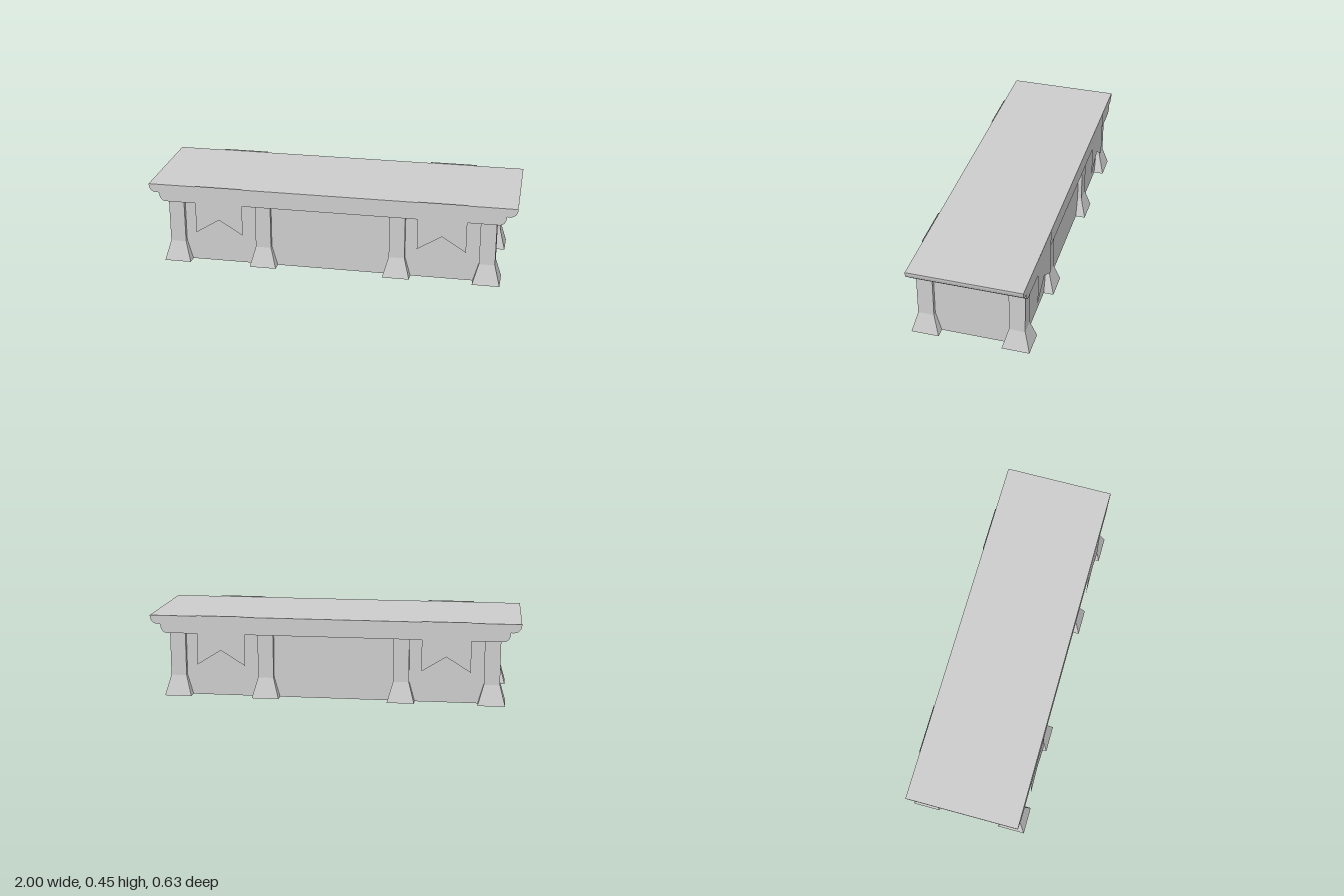
import * as THREE from 'three';
import { toCreasedNormals } from 'three/addons/utils/BufferGeometryUtils.js';

export function createModel() {
  const group = new THREE.Group();
  const smooth = new THREE.MeshStandardMaterial({ color: 0xcccccc });
  const flat = new THREE.MeshStandardMaterial({ color: 0xcccccc, flatShading: true, side: THREE.DoubleSide });
  const add = (name, geometry, material, x = 0, y = 0, z = 0) => {
    const mesh = new THREE.Mesh(geometry, material);
    mesh.name = name;
    mesh.position.set(x, y, z);
    group.add(mesh);
    return mesh;
  };

  // Top slab with two stepped, rounded mouldings at each end
  const back = -0.304, front = 0.3;
  const s = new THREE.Shape();
  s.moveTo(-0.905, 0.349);
  s.lineTo(0.905, 0.349);
  s.bezierCurveTo(0.928, 0.349, 0.943, 0.366, 0.943, 0.398);
  s.lineTo(0.955, 0.398);
  s.bezierCurveTo(0.983, 0.398, 1, 0.414, 1, 0.445);
  s.lineTo(-1, 0.445);
  s.bezierCurveTo(-1, 0.414, -0.983, 0.398, -0.955, 0.398);
  s.lineTo(-0.943, 0.398);
  s.bezierCurveTo(-0.943, 0.366, -0.928, 0.349, -0.905, 0.349);
  const slab = new THREE.ExtrudeGeometry(s, { depth: front - back, bevelEnabled: false, curveSegments: 16 });
  add('topSlab', toCreasedNormals(slab, 0.6), smooth, 0, 0, back);

  // Hollow body: four thin walls, open below
  const H = 0.349, q = Math.SQRT1_2;
  const walls = new THREE.CylinderGeometry(q, q, H, 4, 1, true, Math.PI / 4);
  walls.scale(2 * 0.872, 1, 2 * 0.262);
  add('bodyWalls', walls, flat, 0, H / 2, 0);

  // Square posts with flared, open feet
  const profile = [[0.0735, 0], [0.0425, 0.11], [0.0425, H]]
    .map(([half, y]) => new THREE.Vector2(half * Math.SQRT2, y));
  const post = new THREE.LatheGeometry(profile, 4, Math.PI / 4);
  for (const x of [-0.852, -0.368, 0.368, 0.852]) {
    for (const z of [-0.242, 0.242]) add('post', post, flat, x, 0, z);
  }

  // Thin notched banners hanging over the long edges
  const b = new THREE.Shape();
  b.moveTo(-0.131, 0.449);
  b.lineTo(-0.131, 0.178);
  b.lineTo(0, 0.26);
  b.lineTo(0.131, 0.178);
  b.lineTo(0.131, 0.449);
  const banner = new THREE.ShapeGeometry(b);
  for (const x of [-0.609, 0.609]) {
    add('frontBanner', banner, flat, x, 0, front + 0.003);
    add('backBanner', banner, flat, x, 0, back - 0.003).rotation.y = Math.PI;
  }
  return group;
}
